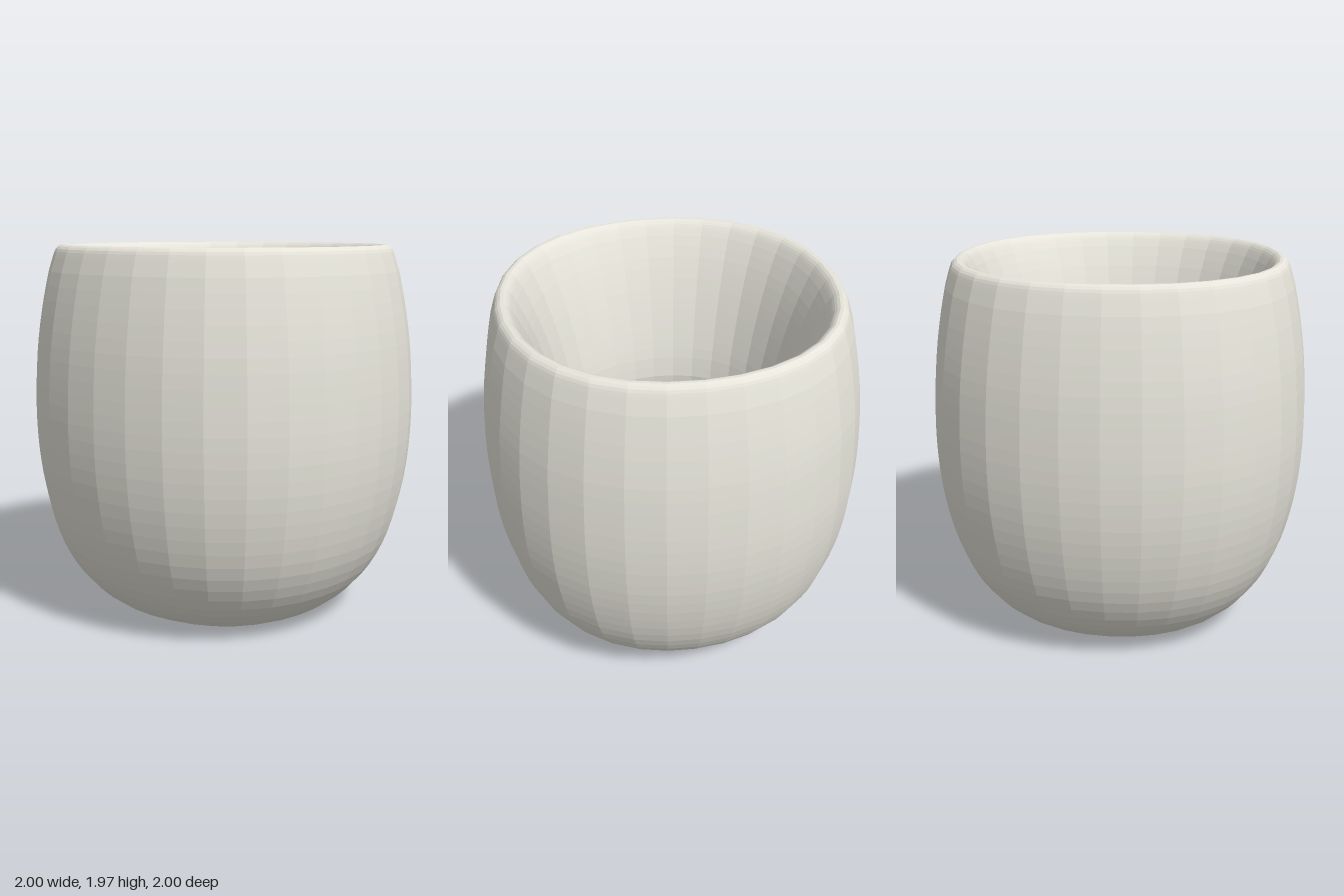
import * as THREE from 'three';

// Smooth profile through a few [radius, height] points
function profile(points, steps) {
  const curve = new THREE.SplineCurve(points.map(([r, y]) => new THREE.Vector2(r, y)));
  return curve.getSpacedPoints(steps);
}

// Revolve a profile in 32 flat facets, slightly squared at the diagonals
function turned(name, points, material) {
  const geometry = new THREE.LatheGeometry(points, 32);
  const pos = geometry.attributes.position;
  for (let i = 0; i < pos.count; i++) {
    const x = pos.getX(i), z = pos.getZ(i);
    const s = 1 + 0.026 * Math.sin(2 * Math.atan2(z, x)) ** 2;
    pos.setX(i, x * s);
    pos.setZ(i, z * s);
  }
  geometry.computeVertexNormals();
  const mesh = new THREE.Mesh(geometry, material);
  mesh.name = name;
  return mesh;
}

export function createModel() {
  const cup = new THREE.Group();
  cup.name = 'cup';
  const material = new THREE.MeshStandardMaterial({
    color: 0xe6e4da, flatShading: true, side: THREE.DoubleSide,
  });

  // Flat base and barrel-shaped outside
  const outside = profile([
    [0.4, 0.003], [0.5, 0.013], [0.58, 0.037], [0.65, 0.08], [0.725, 0.145], [0.81, 0.25],
    [0.892, 0.41], [0.95, 0.61], [0.987, 0.84], [0.999, 1.1], [0.985, 1.4], [0.957, 1.62],
    [0.918, 1.82], [0.892, 1.91],
  ], 30);
  cup.add(turned('outerWall', [new THREE.Vector2(0, 0), ...outside], material));

  // Rounded lip rolling over into the mouth
  cup.add(turned('rim', profile([
    [0.892, 1.91], [0.874, 1.955], [0.842, 1.975], [0.808, 1.955], [0.775, 1.9],
  ], 12), material));

  // Funnel-shaped mouth narrowing to the throat
  cup.add(turned('innerWall', profile([
    [0.775, 1.9], [0.725, 1.785], [0.67, 1.62], [0.62, 1.43], [0.58, 1.24], [0.565, 1.1],
  ], 14), material));

  // Wider bowl below the throat with a rounded floor
  cup.add(turned('innerBowl', profile([
    [0.565, 1.1], [0.59, 0.9], [0.645, 0.68], [0.67, 0.5], [0.635, 0.34],
    [0.53, 0.22], [0.35, 0.15], [0, 0.12],
  ], 24), material));

  return cup;
}
